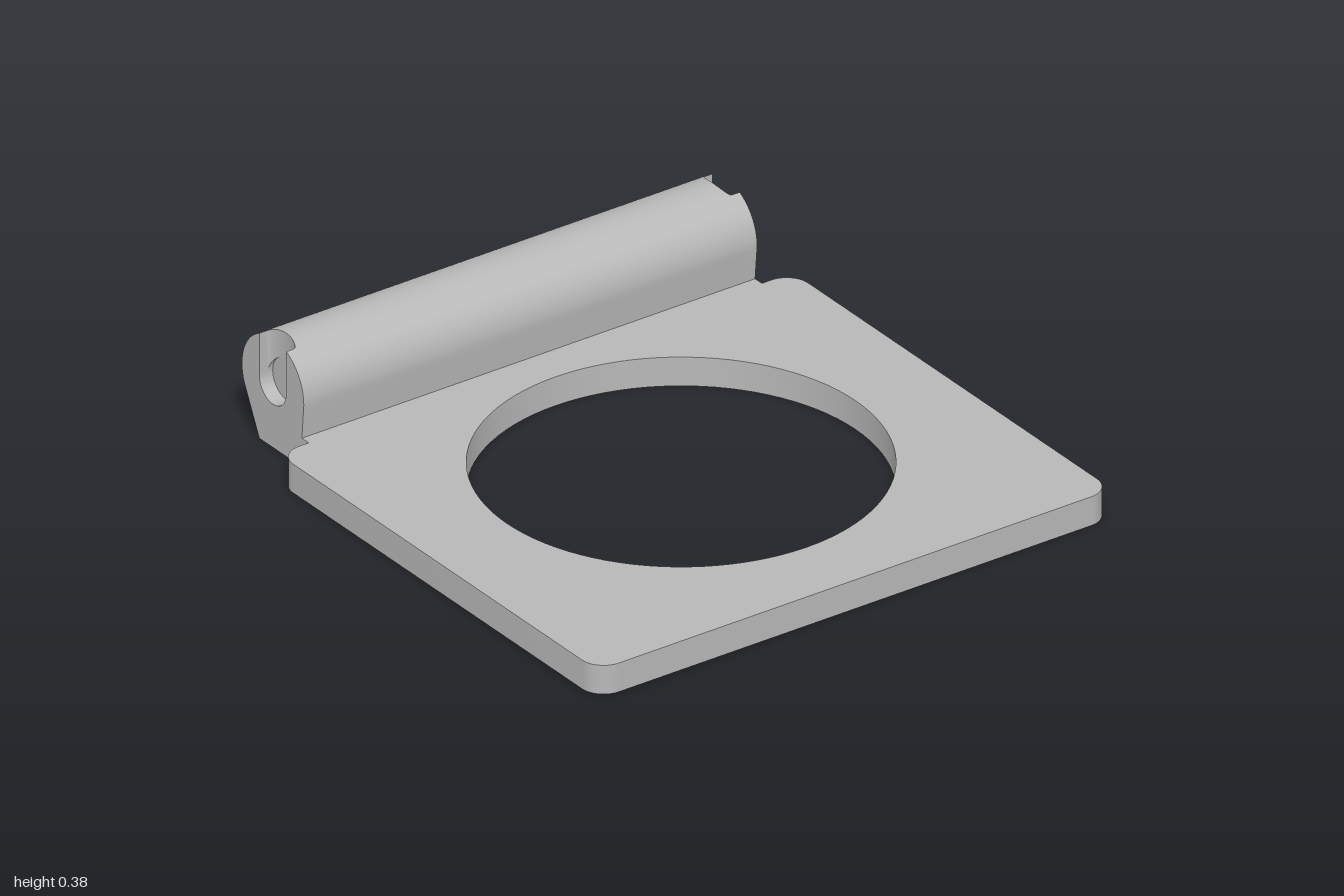
import * as THREE from 'three';
import { toCreasedNormals } from 'three/addons/utils/BufferGeometryUtils.js';
import { ParametricGeometry } from 'three/addons/geometries/ParametricGeometry.js';

const rad = THREE.MathUtils.degToRad;
const C = { s: 0.84, y: 0.22, R: 0.16, r: 0.07 };  // barrel axis, outer and bore radius (s = -z)
const HALF = 0.845, INNER = 0.795;                 // barrel half length, bore floor

// Side outline of the barrel and its neck, optionally cut by a keyhole open at the top
function barrelProfile(slotted) {
  const p = new THREE.Shape();
  p.moveTo(0.655, 0);
  p.lineTo(0.91, 0);
  if (slotted) {
    const a = Math.acos(C.r / C.R);
    p.absarc(C.s, C.y, C.R, rad(-26.2), a, false);
    p.absarc(C.s, C.y, C.r, 0, -Math.PI, true);
    p.absarc(C.s, C.y, C.R, Math.PI - a, rad(185.1), false);
  } else {
    p.absarc(C.s, C.y, C.R, rad(-26.2), rad(185.1), false);
  }
  p.lineTo(0.69, 0.1);
  p.lineTo(0.655, 0.1);
  p.closePath();
  return p;
}

function extrude(shape, depth) {
  return new THREE.ExtrudeGeometry(shape, { depth, bevelEnabled: false, curveSegments: 48 });
}

export function createModel() {
  const group = new THREE.Group();
  const grey = new THREE.MeshStandardMaterial({ color: 0xb8b8b8, side: THREE.DoubleSide });
  grey.name = 'grey';
  const add = (name, geometry) => {
    const mesh = new THREE.Mesh(toCreasedNormals(geometry, 0.5), grey);
    mesh.name = name;
    group.add(mesh);
  };

  // Flat plate with rounded corners and a large round opening (shape y = -z)
  const w = 0.96, front = -1, back = 0.655, c = 0.08;
  const plate = new THREE.Shape();
  plate.absarc(w - c, front + c, c, -Math.PI / 2, 0, false);
  plate.absarc(w - c, back - c, c, 0, Math.PI / 2, false);
  plate.absarc(-w + c, back - c, c, Math.PI / 2, Math.PI, false);
  plate.absarc(-w + c, front + c, c, Math.PI, Math.PI * 1.5, false);
  plate.closePath();
  const opening = new THREE.Path();
  opening.absarc(0, -0.1, 0.65, 0, Math.PI * 2, true);
  plate.holes.push(opening);
  add('plate', extrude(plate, 0.1).rotateX(-Math.PI / 2));

  // Hinge barrel between the two pin sockets
  add('hingeBarrel', extrude(barrelProfile(false), INNER * 2).translate(0, 0, -INNER).rotateY(Math.PI / 2));

  for (const side of [1, -1]) {
    const label = side > 0 ? 'left' : 'right';
    // Slotted barrel end
    const start = side > 0 ? INNER : -HALF;
    add(label + 'PinSocket', extrude(barrelProfile(true), HALF - INNER).translate(0, 0, start).rotateY(Math.PI / 2));

    // Curved floor of the slot above the bore
    const floor = new ParametricGeometry((u, v, out) => {
      const t = -Math.cos(u * Math.PI), d = t * C.r;
      const low = C.y + Math.sqrt(Math.max(0, C.r ** 2 - d * d));
      const high = C.y + Math.sqrt(C.R ** 2 - d * d);
      const x = INNER + 0.022 * (1 - Math.sqrt(Math.max(0, 1 - t * t)));
      const k = Math.round(v * 3);
      out.set(side * (k === 0 || k === 3 ? INNER : x), k < 2 ? low : high, -C.s + d);
    }, 24, 3);
    add(label + 'SlotFloor', floor);
  }
  return group;
}
